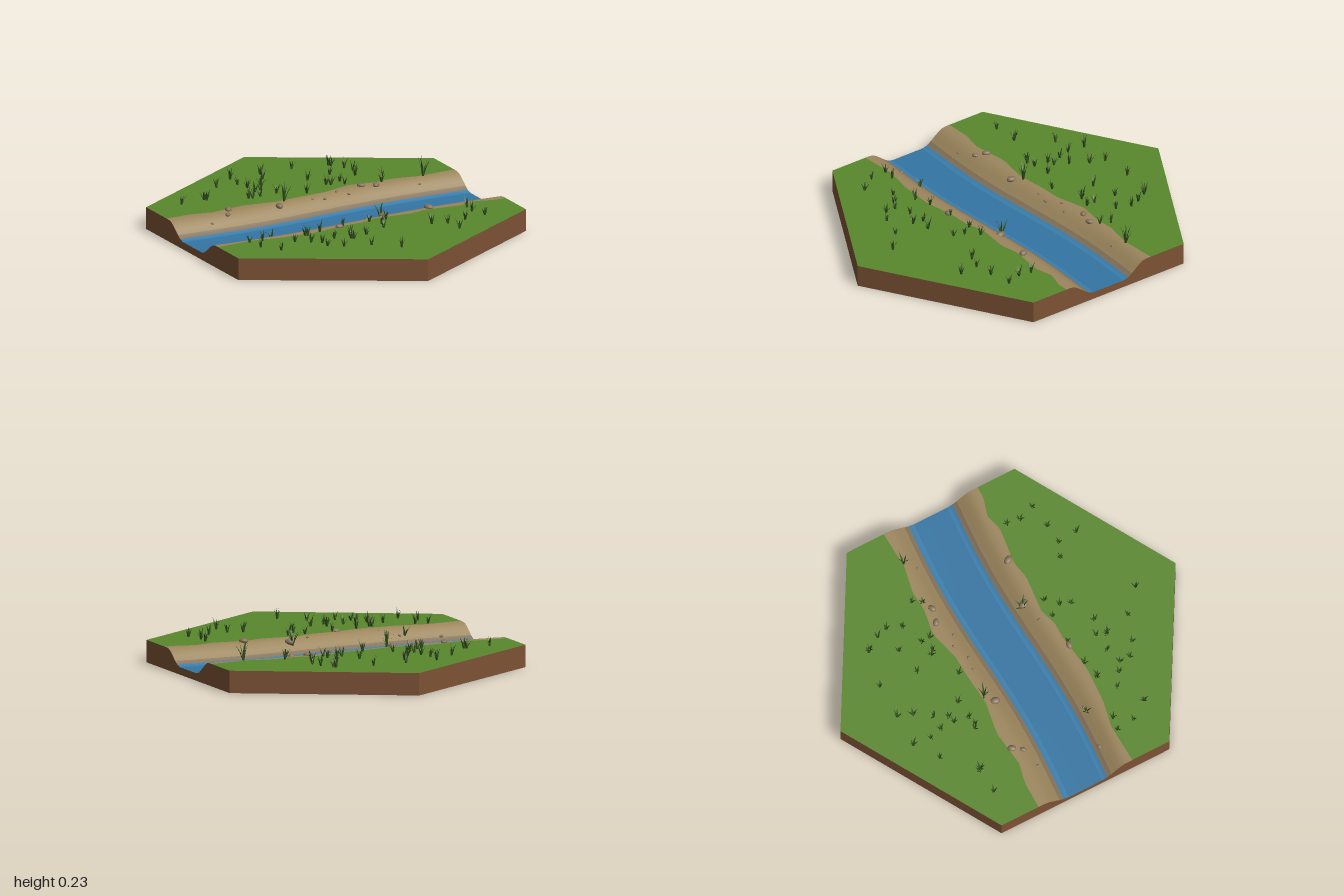
import * as THREE from 'three';
import { mergeGeometries } from 'three/addons/utils/BufferGeometryUtils.js';

const HALF = Math.sqrt(3) / 2, TOP = 0.12, BED = 0.04;

const paint = (name, color, side = THREE.FrontSide) => {
  const m = new THREE.MeshStandardMaterial({ color, side });
  m.name = name;
  return m;
};

function seeded(seed) {
  return () => {
    seed = (seed * 16807) % 2147483647;
    return seed / 2147483647;
  };
}

// Linear interpolation through [x, z] pairs
function along(points, x) {
  for (let i = 1; i < points.length; i++) {
    const [x0, z0] = points[i - 1], [x1, z1] = points[i];
    if (x <= x1) return THREE.MathUtils.mapLinear(x, x0, x1, z0, z1);
  }
  return points[points.length - 1][1];
}

// Where the grass ends on each bank
const NORTH_EDGE = [[-0.87, -0.28], [-0.72, -0.28], [-0.6, -0.255], [-0.4, -0.28], [-0.22, -0.25], [-0.05, -0.265],
  [0.08, -0.27], [0.25, -0.315], [0.4, -0.29], [0.5, -0.3], [0.65, -0.27], [0.87, -0.28]];
const SOUTH_EDGE = [[-0.87, 0.28], [-0.65, 0.27], [-0.5, 0.3], [-0.3, 0.31], [-0.1, 0.28], [0, 0.28],
  [0.1, 0.25], [0.3, 0.27], [0.4, 0.25], [0.6, 0.275], [0.7, 0.25], [0.8, 0.28], [0.87, 0.28]];

const limit = x => 1 - Math.abs(x) / HALF * 0.5;
const centre = x => -0.02 * Math.sin(x * Math.PI / HALF);
const height = (x, z) => BED + (TOP - BED) * THREE.MathUtils.smoothstep(Math.abs(z - centre(x)), 0.1, 0.25);

// z positions across the tile at one x: grass, sand, wet sand, water and back out
function crossSection(x) {
  const c = centre(x), n = along(NORTH_EDGE, x), s = along(SOUTH_EDGE, x);
  const mix = (a, b, t) => a + (b - a) * t;
  const sand = [0.2, 0.4, 0.6, 0.8];
  return [
    -limit(x), n, ...sand.map(t => mix(n, c - 0.155, t)),
    c - 0.155, c - 0.13, c - 0.1, c, c + 0.1, c + 0.13, c + 0.155,
    ...sand.map(t => mix(c + 0.155, s, t)), s, limit(x),
  ];
}
// Material slot of each strip between two neighbouring rows
const STRIPS = [0, 1, 1, 1, 1, 1, 2, 3, 4, 4, 3, 2, 1, 1, 1, 1, 1, 0];

function terrainGeometry() {
  const N = 72, R = STRIPS.length + 1, pos = [], index = [];
  const geo = new THREE.BufferGeometry();
  for (let i = 0; i <= N; i++) {
    const x = HALF * (2 * i / N - 1);
    for (const z of crossSection(x)) pos.push(x, height(x, z), z);
  }
  STRIPS.forEach((slot, j) => {
    geo.addGroup(index.length, N * 6, slot);
    for (let i = 0; i < N; i++) {
      const a = i * R + j, b = a + R;
      index.push(a, a + 1, b, a + 1, b + 1, b);
    }
  });
  geo.setAttribute('position', new THREE.Float32BufferAttribute(pos, 3));
  geo.setIndex(index);
  geo.computeVertexNormals();
  return geo;
}

// Vertical earth wall under a run of [x, z] points, anticlockwise from above
function wallGeometry(run) {
  const pos = [];
  for (let i = 1; i < run.length; i++) {
    const [x0, z0] = run[i - 1], [x1, z1] = run[i];
    const a = [x0, 0, z0], b = [x1, 0, z1], c = [x1, height(x1, z1), z1], d = [x0, height(x0, z0), z0];
    pos.push(...a, ...b, ...c, ...a, ...c, ...d);
  }
  const geo = new THREE.BufferGeometry();
  geo.setAttribute('position', new THREE.Float32BufferAttribute(pos, 3));
  geo.computeVertexNormals();
  return geo;
}

// Tuft of slender leaning blades
function tuftGeometry(x, z, size, rand) {
  const pos = [], count = 5 + Math.floor(rand() * 2), y = height(x, z) - 0.003;
  const turn = rand() * 6.28;
  for (let i = 0; i < count; i++) {
    const a = turn + i / count * 6.28 + rand() * 0.6;
    const h = size * (0.55 + rand() * 0.45), lean = size * (0.15 + rand() * 0.3);
    const dx = Math.cos(a), dz = Math.sin(a);
    const at = (out, up, side) => [x + dx * out - dz * side, y + up, z + dz * out + dx * side];
    const l0 = at(0.003, 0, -0.004), r0 = at(0.003, 0, 0.004);
    const l1 = at(lean * 0.4, h * 0.5, -0.0045), r1 = at(lean * 0.4, h * 0.5, 0.0045);
    const tip = at(lean, h, 0);
    pos.push(...l0, ...r0, ...r1, ...l0, ...r1, ...l1, ...l1, ...r1, ...tip);
  }
  const geo = new THREE.BufferGeometry();
  geo.setAttribute('position', new THREE.Float32BufferAttribute(pos, 3));
  geo.computeVertexNormals();
  return geo;
}

const NORTH_TUFTS = [[-0.68, -0.45], [-0.54, -0.46], [-0.25, -0.7], [-0.07, -0.7], [0.12, -0.7], [0.32, -0.66],
  [0.37, -0.58], [-0.38, -0.61], [-0.26, -0.6], [-0.24, -0.53], [-0.16, -0.53], [-0.1, -0.62], [-0.32, -0.37],
  [-0.25, -0.37], [-0.24, -0.45], [-0.2, -0.46], [-0.15, -0.38], [0.1, -0.49], [0.25, -0.52], [0.15, -0.38],
  [0.17, -0.36], [0.24, -0.39], [0.24, -0.34], [0.39, -0.52], [0.36, -0.44], [0.46, -0.33], [-0.01, -0.3], [0.43, -0.28],
  [0.33, -0.65], [-0.3, -0.36], [-0.53, -0.45]];
const SOUTH_TUFTS = [[-0.68, 0.29], [-0.61, 0.3], [-0.67, 0.39], [-0.6, 0.49], [-0.5, 0.2], [-0.47, 0.4],
  [-0.36, 0.34], [-0.27, 0.31], [-0.12, 0.29], [-0.4, 0.45], [-0.35, 0.48], [-0.26, 0.45], [-0.35, 0.54],
  [-0.28, 0.59], [-0.18, 0.49], [-0.16, 0.44], [-0.08, 0.47], [-0.14, 0.64], [-0.02, 0.75], [0.04, 0.29],
  [0.14, 0.29], [0.08, 0.35], [0.06, 0.41], [0.61, 0.32], [0.6, 0.39], [0.31, 0.48], [0.39, 0.51],
  [0.5, 0.5], [0.63, 0.48], [0.4, 0.62], [-0.37, 0.33], [-0.17, 0.5]];
const REEDS = [[-0.18, -0.24], [0.17, 0.175], [0.67, -0.265]];
// x, z, radius
const STONES = [[-0.51, -0.25, 0.024], [-0.54, -0.2, 0.018], [-0.23, -0.2, 0.027], [0.3, -0.27, 0.022],
  [0.38, -0.25, 0.023], [0.18, 0.19, 0.03], [0.43, 0.23, 0.027], [-0.14, 0.29, 0.022], [-0.65, -0.17, 0.01],
  [0.05, -0.21, 0.011], [0.2, -0.22, 0.01], [0.14, -0.25, 0.009], [0.06, 0.22, 0.01], [-0.7, 0.17, 0.013],
  [-0.47, 0.2, 0.011], [-0.02, -0.22, 0.008], [0.62, -0.21, 0.009]];

export function createModel() {
  const model = new THREE.Group();
  const add = (name, geometry, material) => {
    const mesh = new THREE.Mesh(geometry, material);
    mesh.name = name;
    model.add(mesh);
  };
  const rand = seeded(41);

  // Ground surface with the river channel
  add('ground', terrainGeometry(), [
    paint('grass', 0x59882d), paint('sand', 0x9c865d), paint('wetSand', 0x84735b),
    paint('shallowWater', 0x3a7fae), paint('water', 0x3375a3),
  ]);

  // Earth walls and underside
  const earth = paint('earth', 0x7c5234);
  const east = crossSection(HALF).map(z => [HALF, z]).reverse();
  const west = crossSection(-HALF).map(z => [-HALF, z]);
  const runs = [[[-HALF, 0.5], [0, 1]], [[0, 1], [HALF, 0.5]], east,
    [[HALF, -0.5], [0, -1]], [[0, -1], [-HALF, -0.5]], west];
  add('earthWalls', mergeGeometries(runs.map(wallGeometry)), earth);
  add('underside', new THREE.CircleGeometry(1, 6, Math.PI / 2).rotateX(Math.PI / 2), earth);

  // Grass tufts and taller reeds
  const blade = paint('blades', 0x34521f, THREE.DoubleSide);
  const tufts = [...NORTH_TUFTS, ...SOUTH_TUFTS].map(([x, z]) => tuftGeometry(x, z, 0.06 + rand() * 0.015, rand));
  add('grassTufts', mergeGeometries(tufts), blade);
  add('reeds', mergeGeometries(REEDS.map(([x, z]) => tuftGeometry(x, z, 0.12, rand))), blade);

  // Flattened bank stones
  const stones = STONES.map(([x, z, r]) => new THREE.SphereGeometry(r, 10, 7)
    .scale(1, 0.55, 0.72).rotateY(rand() * 3.14).translate(x, height(x, z) + r * 0.15, z));
  add('stones', mergeGeometries(stones), paint('stone', 0x87735a));

  return model;
}
